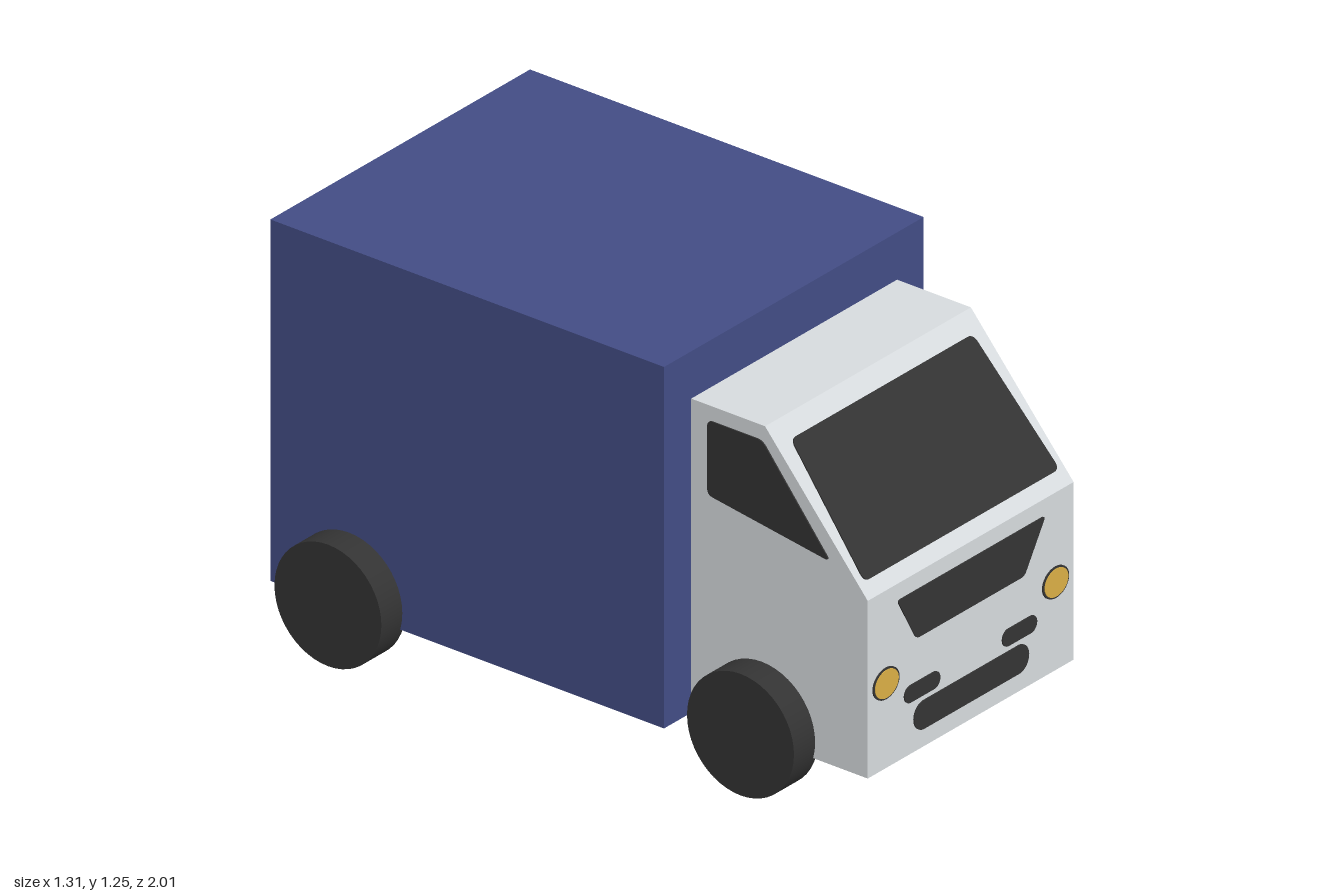
import * as THREE from 'three';

const mat = (name, color, side = THREE.FrontSide) => {
  const m = new THREE.MeshStandardMaterial({ color, side });
  m.name = name;
  return m;
};

// Polygon with corners rounded off by radius r
function roundedShape(pts, r = 0) {
  const v = pts.map(([x, y]) => new THREE.Vector2(x, y));
  if (!r) return new THREE.Shape(v);
  const s = new THREE.Shape();
  v.forEach((p, i) => {
    const toward = (q) => p.clone().add(q.clone().sub(p).setLength(r));
    const a = toward(v[(i + v.length - 1) % v.length]);
    const b = toward(v[(i + 1) % v.length]);
    if (i === 0) s.moveTo(a.x, a.y);
    else s.lineTo(a.x, a.y);
    s.quadraticCurveTo(p.x, p.y, b.x, b.y);
  });
  s.closePath();
  return s;
}

// Horizontal slot with fully round ends
function slotShape(cx, cy, w, h) {
  const s = new THREE.Shape();
  const r = h / 2, d = w / 2 - r;
  s.absarc(cx + d, cy, r, -Math.PI / 2, Math.PI / 2, false);
  s.absarc(cx - d, cy, r, Math.PI / 2, Math.PI * 1.5, false);
  s.closePath();
  return s;
}

const extrude = (shape, depth) =>
  new THREE.ExtrudeGeometry(shape, { depth, bevelEnabled: false, curveSegments: 16 });

// Extrudes a (z, y) outline between two x positions
const sideExtrude = (shape, x0, x1) =>
  extrude(shape, x1 - x0).rotateY(-Math.PI / 2).translate(x1, 0, 0);

export function createModel() {
  const grey = mat('cab grey', 0xd6dadd);
  const blue = mat('cargo blue', 0x424c84, THREE.DoubleSide);
  const dark = mat('dark trim', 0x333333, THREE.DoubleSide);
  const amber = mat('lamp amber', 0xd9ae45);

  const model = new THREE.Group();
  model.name = 'boxTruck';
  const add = (name, geometry, material) => {
    const mesh = new THREE.Mesh(geometry, material);
    mesh.name = name;
    model.add(mesh);
    return mesh;
  };
  const T = 0.004; // thickness of applied panels

  // Cab with sloping windscreen
  const cabX = 0.448;
  const cabProfile = [[0.381, 0.137], [1, 0.137], [1, 0.685], [0.64, 1.105], [0.381, 1.105]];
  add('cab', sideExtrude(roundedShape(cabProfile), -cabX, cabX), grey);

  // Cargo box: thin walls, open at the back, with a dark rim
  const W = 1.13, H = 1.115, L = 1.38, midY = 0.135 + H / 2;
  const cargo = new THREE.BoxGeometry(W, H, L);
  cargo.setIndex(Array.from(cargo.index.array).slice(0, 30)); // drop the back face
  cargo.clearGroups();
  add('cargoBox', cargo.translate(0, midY, 0.38 - L / 2), blue);

  const rectangle = (w, h) => [[-w, -h], [w, -h], [w, h], [-w, h]];
  const rim = roundedShape(rectangle(W / 2, H / 2));
  rim.holes.push(new THREE.Path(
    rectangle(W / 2 - 0.027, H / 2 - 0.027).map(([x, y]) => new THREE.Vector2(x, y))));
  add('cargoRim', new THREE.ShapeGeometry(rim).translate(0, midY, -1), dark);

  // Windscreen laid on the slope
  const slope = Math.atan2(0.36, 0.42);
  const screen = add('windscreen', extrude(roundedShape(
    [[-0.424, 0.05], [0.424, 0.05], [0.4, 0.488], [-0.39, 0.488]], 0.025), T), dark);
  screen.position.set(0, 0.685, 1);
  screen.rotation.x = -slope;

  // Side windows
  const windowShape = roundedShape([[0.87, 0.765], [0.44, 0.83], [0.44, 1.06], [0.632, 1.06]], 0.02);
  add('leftWindow', sideExtrude(windowShape, cabX, cabX + T), dark);
  add('rightWindow', sideExtrude(windowShape, -cabX - T, -cabX), dark);

  // Front trim
  const frontPanel = (name, shape) => add(name, extrude(shape, T).translate(0, 0, 1), dark);
  frontPanel('grille', roundedShape(
    [[-0.24, 0.485], [0.23, 0.485], [0.322, 0.634], [-0.322, 0.634]], 0.015));
  frontPanel('lowerIntake', slotShape(0, 0.237, 0.5, 0.088));
  frontPanel('leftVent', slotShape(0.21, 0.324, 0.15, 0.053));
  frontPanel('rightVent', slotShape(-0.214, 0.324, 0.155, 0.053));

  // Headlights with dark surrounds
  for (const [name, x, y] of [['left', 0.367, 0.41], ['right', -0.371, 0.4]]) {
    const oval = (rx, ry) => new THREE.Shape().absellipse(x, y, rx, ry, 0, Math.PI * 2, false);
    frontPanel(name + 'HeadlightRing', oval(0.057, 0.048));
    add(name + 'Headlight', extrude(oval(0.051, 0.043), T).translate(0, 0, 1 + T / 2), amber);
  }

  // Wheels: centre x and z of each
  const wheels = [
    ['leftFrontWheel', 0.472, 0.643], ['rightFrontWheel', -0.488, 0.628],
    ['leftRearWheel', 0.602, -0.725], ['rightRearWheel', -0.604, -0.725],
  ];
  for (const [name, x, z] of wheels) {
    const tyre = new THREE.CylinderGeometry(0.1875, 0.1875, 0.104, 48).rotateZ(Math.PI / 2);
    add(name, tyre.translate(x, 0.1875, z), dark);
  }
  return model;
}
